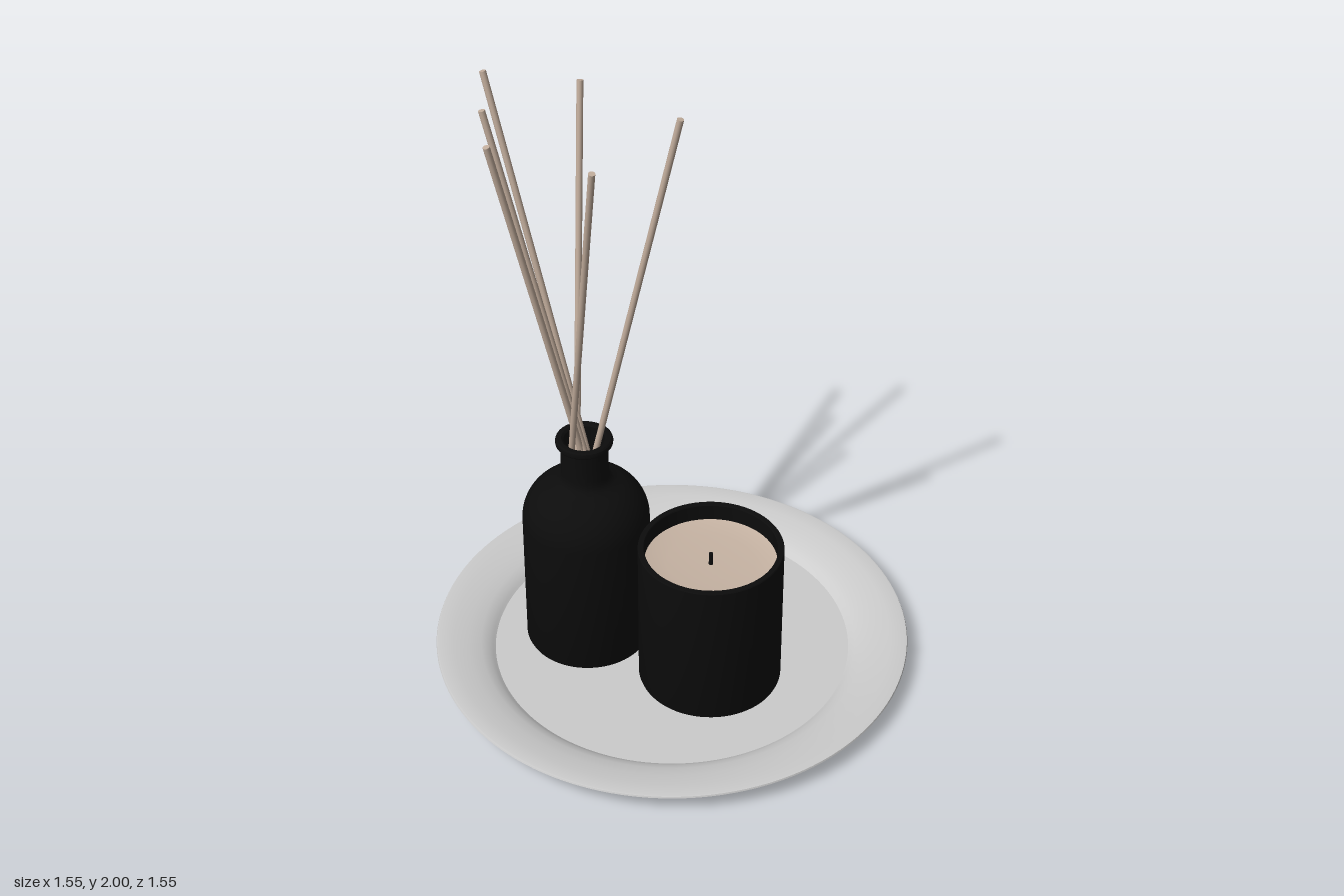
import * as THREE from 'three';
import { toCreasedNormals } from 'three/addons/utils/BufferGeometryUtils.js';

const material = (name, color, extra = {}) => new THREE.MeshStandardMaterial({ name, color, ...extra });

// Revolved part: profile runs from bottom centre, up the outside, then down the inside
function turned(name, profile, mat, x = 0, z = 0, segments = 72) {
  const points = profile.map(([r, y]) => new THREE.Vector2(r, y));
  const mesh = new THREE.Mesh(toCreasedNormals(new THREE.LatheGeometry(points, segments), 0.5), mat);
  mesh.name = name;
  mesh.position.set(x, 0, z);
  return mesh;
}

// Thin round stick between two points
function rod(name, from, to, radius, mat) {
  const a = new THREE.Vector3(...from), b = new THREE.Vector3(...to);
  const dir = b.clone().sub(a);
  const mesh = new THREE.Mesh(new THREE.CylinderGeometry(radius, radius, dir.length(), 12), mat);
  mesh.name = name;
  mesh.position.copy(a).add(b).multiplyScalar(0.5);
  mesh.quaternion.setFromUnitVectors(new THREE.Vector3(0, 1, 0), dir.normalize());
  return mesh;
}

export function createModel() {
  const plateGrey = material('plate grey', 0xcccccc);
  const black = material('matte black', 0x0c0c0c);
  const waxBeige = material('wax beige', 0xc6b3a3);
  const reedWood = material('reed wood', 0xc2ad9c);
  const liquidWhite = material('liquid white', 0xffffff);

  const model = new THREE.Group();
  model.name = 'diffuserAndCandleTray';
  const floor = 0.022;

  // Plate with a wide, gently rising rim
  model.add(turned('plate', [
    [0, 0], [0.585, 0], [0.597, 0.006], [0.61, 0.018], [0.635, 0.03], [0.67, 0.041],
    [0.72, 0.052], [0.772, 0.06], [0.777, 0.064], [0.775, 0.069], [0.77, 0.07],
    [0.72, 0.066], [0.67, 0.058], [0.63, 0.048], [0.605, 0.038], [0.592, 0.028],
    [0.584, floor], [0, floor],
  ], plateGrey, 0, 0, 128));

  // Candle: cup, wax and wick
  const candle = new THREE.Group();
  candle.name = 'candle';
  candle.position.set(0.09, 0, 0.173);
  candle.add(
    turned('candleCup', [
      [0, floor], [0.222, floor], [0.228, 0.026], [0.231, 0.034], [0.231, 0.538], [0.229, 0.541],
      [0.213, 0.541], [0.211, 0.538], [0.211, 0.44], [0, 0.44],
    ], black),
    turned('wax', [[0.211, 0.484], [0.19, 0.479], [0.14, 0.475], [0.07, 0.472], [0, 0.472]], waxBeige),
    rod('wick', [0, 0.46, 0], [0, 0.515, 0], 0.007, black),
  );
  model.add(candle);

  // Bottle: straight body, rounded shoulder, neck and lip
  const bx = -0.26, bz = -0.108;
  const shoulder = [];
  for (let i = 0; i <= 12; i++) {
    const t = (i / 12) * 1.2;
    shoulder.push([0.065 + 0.14 * Math.cos(t), 0.505 + 0.145 * Math.sin(t)]);
  }
  model.add(turned('bottle', [
    [0, floor], [0.192, floor], [0.2, 0.026], [0.205, 0.036], ...shoulder,
    [0.094, 0.651], [0.083, 0.66], [0.077, 0.673], [0.076, 0.69], [0.076, 0.79],
    [0.086, 0.793], [0.091, 0.799], [0.092, 0.807], [0.09, 0.814], [0.085, 0.818],
    [0.072, 0.818], [0.065, 0.812], [0.064, 0.66], [0.1, 0.62], [0.165, 0.57],
    [0.19, 0.5], [0.19, 0.05], [0, 0.05],
  ], black, bx, bz));

  // Liquid surface inside the bottle
  model.add(turned('liquid', [[0.19, 0.3], [0, 0.3]], liquidWhite, bx, bz, 48));

  // Reeds: [tip x, y, z, neck x, neck z], continued down into the liquid
  const reeds = new THREE.Group();
  reeds.name = 'reeds';
  const neckY = 0.82, endY = 0.3;
  [
    [0.018, 2.0, 0.034, -0.216, -0.09],
    [-0.262, 1.932, 0.168, -0.304, -0.075],
    [-0.53, 1.938, -0.028, -0.282, -0.12],
    [-0.512, 1.93, -0.257, -0.272, -0.132],
    [-0.488, 1.988, -0.39, -0.262, -0.15],
    [-0.2, 1.93, -0.385, -0.274, -0.152],
  ].forEach(([x, y, z, nx, nz], i) => {
    const t = (endY - neckY) / (y - neckY);
    const end = [nx + (x - nx) * t, endY, nz + (z - nz) * t];
    reeds.add(rod(`reed${i + 1}`, end, [x, y - 0.002, z], 0.0105, reedWood));
  });
  model.add(reeds);

  return model;
}
